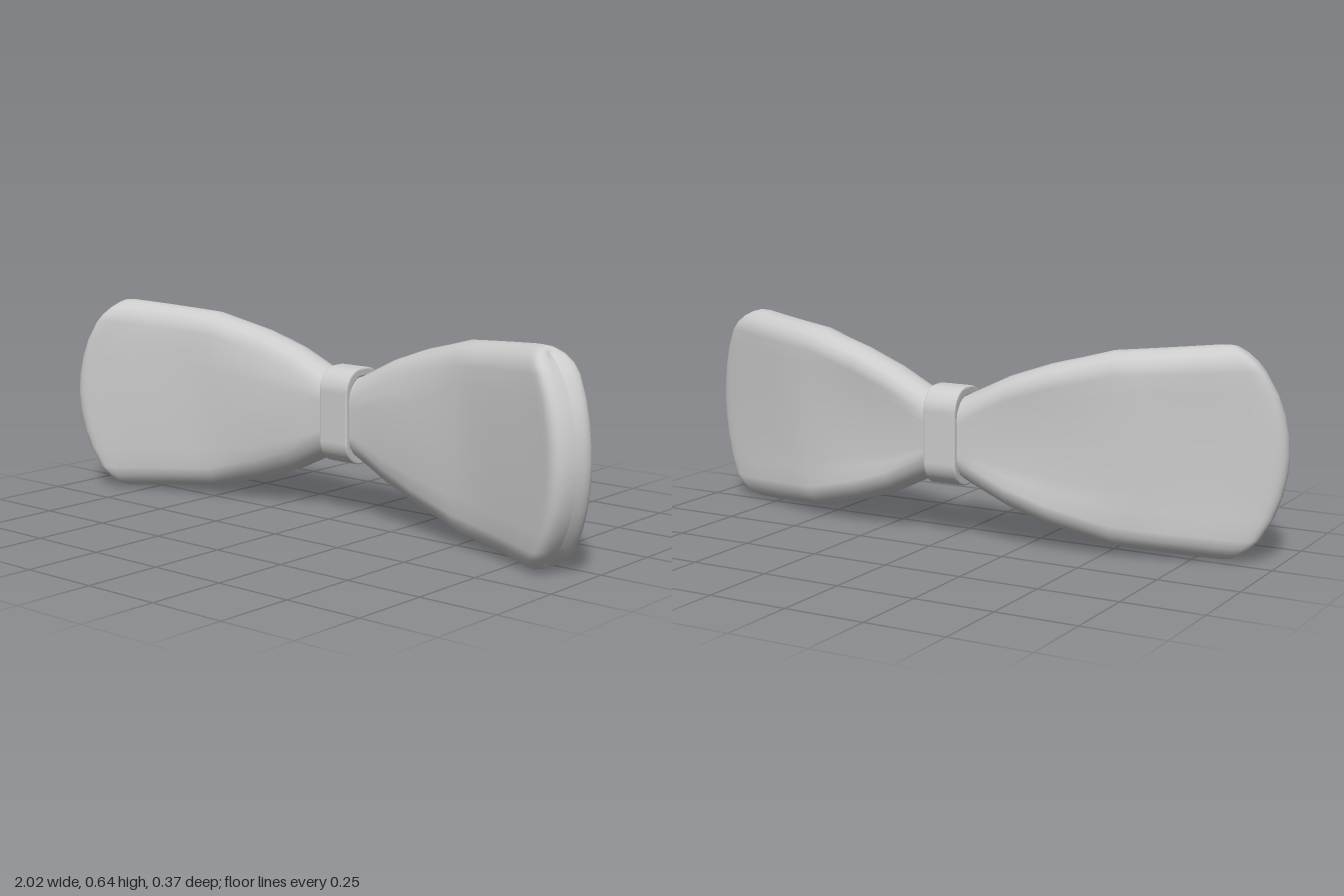
import * as THREE from 'three';

const MID = 0.32; // height of the bow's axis
const material = new THREE.MeshStandardMaterial({ color: 0xcccccc, side: THREE.DoubleSide });

// Half height of the wings along their length
const OUTLINE = [[0, 0.115], [0.055, 0.13], [0.2, 0.2], [0.33, 0.245], [0.52, 0.293], [0.93, 0.319], [1.1, 0.32]];
function halfHeight(s) {
  const k = Math.max(1, OUTLINE.findIndex(p => p[0] >= s));
  const [a, b] = [OUTLINE[k - 1], OUTLINE[k]];
  return THREE.MathUtils.mapLinear(s, a[0], b[0], a[1], b[1]);
}

// One rounded cross-section as [y, depth, isFace], front face first
function section(h, t) {
  const r = Math.min(0.07, h * 0.6), flat = h - r, pts = [];
  const N = 8, A = 8;
  for (const side of [1, -1]) {
    for (let i = 0; i < N; i++) pts.push([side * flat * (2 * i / N - 1), side * t, 1]);
    for (let i = 0; i < A; i++) {
      const a = Math.PI * i / A;
      pts.push([side * (flat + r * Math.sin(a)), side * t * Math.cos(a), 0]);
    }
  }
  return pts;
}

// Faces are pulled slightly flatter than the bent rim
function faceFlattening(x) {
  if (x > 0.06 && x < 0.57) return 0.24 * (x - 0.06) * (0.57 - x);
  if (x >= 0.57 && x < 0.92) return 0.24 * (x - 0.57) * (0.92 - x);
  return 0;
}

// Both wings in one loft, bent backwards at the middle
function bowGeometry() {
  const half = [0.055, 0.12, 0.2, 0.265, 0.33, 0.425, 0.52, 0.6, 0.7, 0.8, 0.87].map(s => [s, 1]);
  for (let i = 0; i <= 8; i++) {
    const a = Math.PI / 2 * i / 8;
    const c = i === 8 ? 0 : Math.cos(a);
    half.push([0.93 + 0.065 * Math.sin(a) ** 0.6, c ** 0.6]); // rounded tip
  }
  const rows = [...half.map(([s, k]) => [-s, k]).reverse(), [0, 1], ...half];
  const pos = [], index = [];
  let n = 0;
  rows.forEach(([signed, k], i) => {
    const s = Math.abs(signed), sign = Math.sign(signed);
    const h = halfHeight(s) - 0.02 * (1 - k);
    const ring = section(h, (0.075 - 0.006 * s) * k);
    n = ring.length;
    for (const [y, d, face] of ring) {
      const v = Math.abs(y / h);
      const bulge = Math.max(0, (s - 0.5) / 0.5) * (0.1 * v ** 2 + 0.04 * v ** 8);
      const x = s - bulge;
      const tilt = Math.atan(0.48 * x);
      const z = -0.108 + 0.24 * x * x + d * Math.cos(tilt) + face * faceFlattening(x) * (1 - v * v);
      pos.push(sign * (x - d * Math.sin(tilt)), MID + y, z);
    }
    if (i === rows.length - 1) return;
    for (let j = 0; j < n; j++) {
      const a = i * n + j, b = i * n + (j + 1) % n;
      index.push(a, a + n, b + n, a, b + n, b);
    }
  });
  const g = new THREE.BufferGeometry();
  g.setAttribute('position', new THREE.Float32BufferAttribute(pos, 3));
  g.setIndex(index);
  g.computeVertexNormals();
  return g;
}

// Rounded rectangle centred on the origin
function roundRect(path, w, h, r) {
  path.moveTo(w, -h + r);
  path.lineTo(w, h - r);
  path.absarc(w - r, h - r, r, 0, Math.PI / 2);
  path.lineTo(-w + r, h);
  path.absarc(-w + r, h - r, r, Math.PI / 2, Math.PI);
  path.lineTo(-w, -h + r);
  path.absarc(-w + r, -h + r, r, Math.PI, Math.PI * 1.5);
  path.lineTo(w - r, -h);
  path.absarc(w - r, -h + r, r, Math.PI * 1.5, Math.PI * 2);
  return path;
}

// Band wrapped around the middle
function knotGeometry() {
  const bevel = 0.005;
  const shape = roundRect(new THREE.Shape(), 0.086 - bevel, 0.153 - bevel, 0.068);
  shape.holes.push(roundRect(new THREE.Path(), 0.066, 0.13, 0.055));
  const depth = 0.112 - 2 * bevel;
  const g = new THREE.ExtrudeGeometry(shape, {
    depth, bevelEnabled: true, bevelSize: bevel, bevelThickness: bevel, bevelSegments: 2, curveSegments: 8,
  });
  g.translate(0, 0, -depth / 2);
  g.rotateY(Math.PI / 2);
  g.translate(0, MID + 0.003, -0.106);
  return g;
}

export function createModel() {
  const group = new THREE.Group();
  group.name = 'bowTie';
  const add = (name, geometry) => {
    const mesh = new THREE.Mesh(geometry, material);
    mesh.name = name;
    group.add(mesh);
  };
  add('wings', bowGeometry());
  add('knotBand', knotGeometry());
  return group;
}
